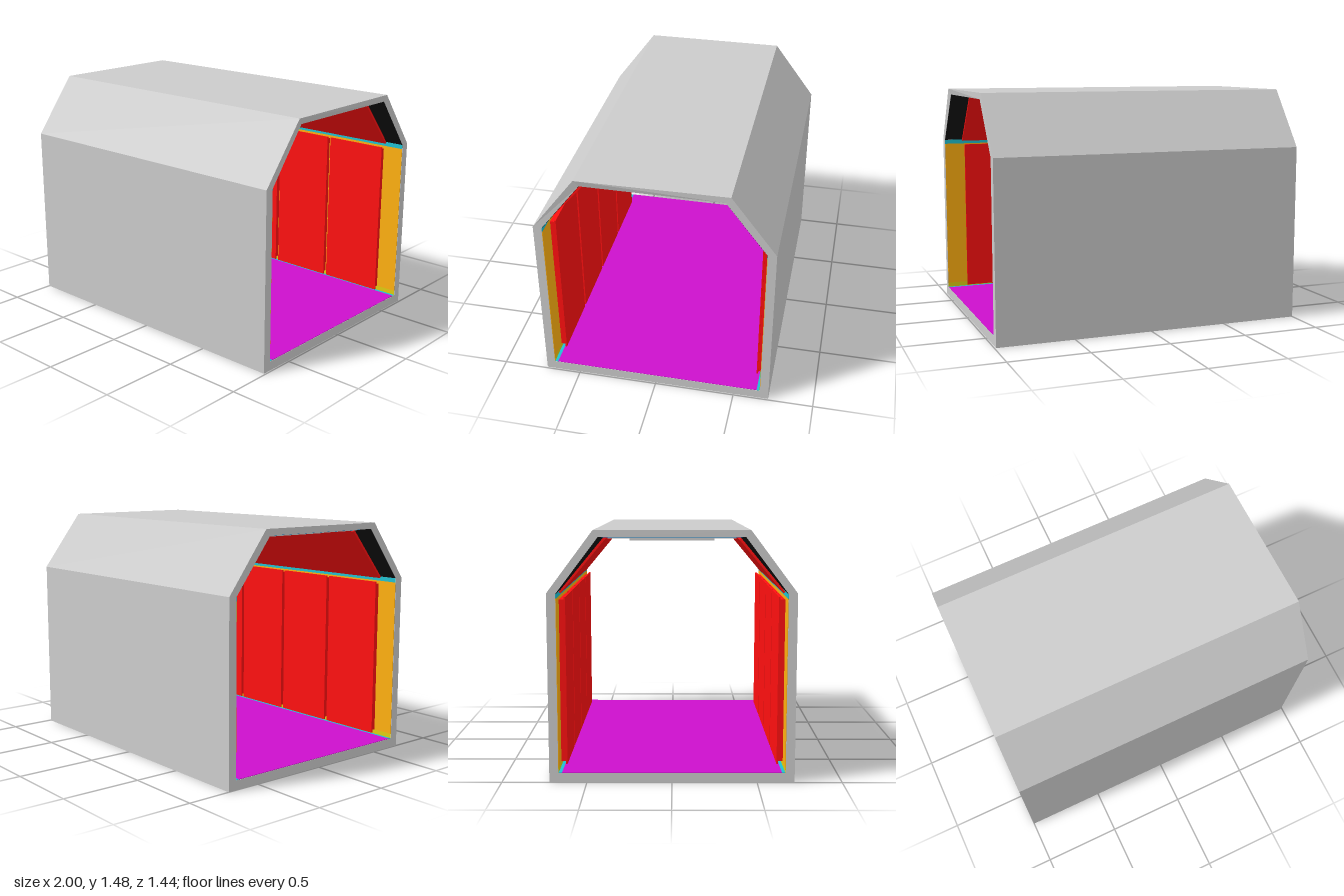
import * as THREE from 'three';

const HALF = 0.995; // half length of the tunnel along x
const mat = (color) => new THREE.MeshStandardMaterial({ color });
const grey = mat(0xcccccc), red = mat(0xff1010), orange = mat(0xffb010), yellow = mat(0xe0cc10);
const purple = mat(0xcc10cc), black = mat(0x111111), blue = mat(0x1888d0), cyan = mat(0x20c0d0);

// Closed outline from [z, y] points
const outline = (pts, Type = THREE.Shape) => new Type(pts.map(([z, y]) => new THREE.Vector2(z, y)));

// Extrudes a z-y section along x, centred at x
function extrudeX(name, shape, length, material, x = 0) {
  const geo = new THREE.ExtrudeGeometry(shape, { depth: length, bevelEnabled: false });
  geo.translate(0, 0, -length / 2).rotateY(-Math.PI / 2).translate(x, 0, 0);
  const mesh = new THREE.Mesh(geo, material);
  mesh.name = name;
  return mesh;
}

// Box given by its ranges in x, y and z
function box(name, [x0, x1], [y0, y1], [z0, z1], material) {
  const geo = new THREE.BoxGeometry(x1 - x0, y1 - y0, z1 - z0);
  const mesh = new THREE.Mesh(geo, material);
  mesh.position.set((x0 + x1) / 2, (y0 + y1) / 2, (z0 + z1) / 2);
  mesh.name = name;
  return mesh;
}

// Adds the right-hand point list mirrored to the other side
const mirrored = (pts) => [...pts, ...pts.map(([z, y]) => [-z, y]).reverse()];

// Hollow outer shell, open at both ends
function makeShell() {
  const shape = outline(mirrored([[0.72, 0], [0.72, 1.115], [0.45, 1.475]]));
  shape.holes.push(outline(mirrored([[0.667, 0.058], [0.667, 1.112], [0.42, 1.437]]), THREE.Path));
  const shell = extrudeX('shell', shape, 2 * HALF, grey);
  // One roof corner sticks out slightly at the end
  const p = shell.geometry.attributes.position;
  for (let i = 0; i < p.count; i++) {
    if (p.getX(i) > 0.9 && p.getY(i) > 1.47 && p.getZ(i) > 0.4) p.setX(i, HALF + 0.01);
  }
  shell.geometry.computeVertexNormals();
  return shell;
}

// Wall lining, panels and sloping panel of one side (s = +1 or -1)
function makeSide(s) {
  const side = new THREE.Group();
  side.name = s > 0 ? 'frontWall' : 'backWall';
  const zr = (a, b) => (s > 0 ? [a, b] : [-b, -a]);
  const full = [-HALF + 0.002, HALF - 0.002];
  side.add(box('wallLining', full, [0.09, 1.085], zr(0.664, 0.668), orange));
  side.add(box('skirtingStrip', full, [0.058, 0.09], zr(0.664, 0.668), yellow));
  side.add(box('upperStrip', full, [1.085, 1.112], zr(0.664, 0.668), cyan));
  side.add(box('floorEdge', full, [0.057, 0.061], zr(0.645, 0.667), cyan));

  // Four wall panels, each a block with a thin cover plate
  const pitch = 0.4375;
  for (let i = 0; i < 4; i++) {
    const x = (i - 1.5) * pitch, w = pitch / 2 - 0.012;
    side.add(box('panelBlock', [x - w + 0.008, x + w - 0.008], [0.09, 1.065], zr(0.635, 0.664), red));
    side.add(box('panelCover', [x - w, x + w], [0.075, 1.08], zr(0.626, 0.635), red));
  }

  // Dark lining and one long panel on the slope
  const slope = (pts) => outline(s > 0 ? pts : pts.map(([z, y]) => [-z, y]).reverse());
  side.add(extrudeX('slopeLining',
    slope([[0.668, 1.113], [0.664, 1.113], [0.419, 1.436], [0.423, 1.436]]), 2 * HALF - 0.004, black));
  side.add(extrudeX('slopePanel',
    slope([[0.661, 1.112], [0.651, 1.104], [0.39, 1.416], [0.401, 1.425]]), 1.75, red));
  return side;
}

// Ceiling lining, flat panel and framed light
function makeCeiling() {
  const ceiling = new THREE.Group();
  ceiling.name = 'ceiling';
  ceiling.add(box('ceilingLining', [-0.965, 0.965], [1.433, 1.438], [-0.4, 0.4], blue));
  ceiling.add(box('ceilingPanel', [-0.92, 0.92], [1.425, 1.434], [-0.37, 0.37], grey));

  const frame = new THREE.Shape([[-0.76, -0.25], [0.76, -0.25], [0.76, 0.25], [-0.76, 0.25]]
    .map(([x, z]) => new THREE.Vector2(x, z)));
  frame.holes.push(new THREE.Path([[-0.73, -0.22], [-0.73, 0.22], [0.73, 0.22], [0.73, -0.22]]
    .map(([x, z]) => new THREE.Vector2(x, z))));
  const geo = new THREE.ExtrudeGeometry(frame, { depth: 0.02, bevelEnabled: false });
  geo.rotateX(Math.PI / 2).translate(0, 1.426, 0);
  const rim = new THREE.Mesh(geo, grey);
  rim.name = 'lightFrame';
  ceiling.add(rim);
  ceiling.add(box('lightPane', [-0.73, 0.73], [1.418, 1.426], [-0.22, 0.22], blue));
  return ceiling;
}

export function createModel() {
  const model = new THREE.Group();
  model.name = 'corridorSection';
  const body = new THREE.Group();
  body.name = 'corridor';
  body.position.x = -0.005;
  body.add(makeShell(), makeSide(1), makeSide(-1), makeCeiling());
  body.add(box('floor', [-HALF + 0.002, HALF - 0.002], [0.056, 0.061], [-0.645, 0.645], purple));
  model.add(body);
  return model;
}
